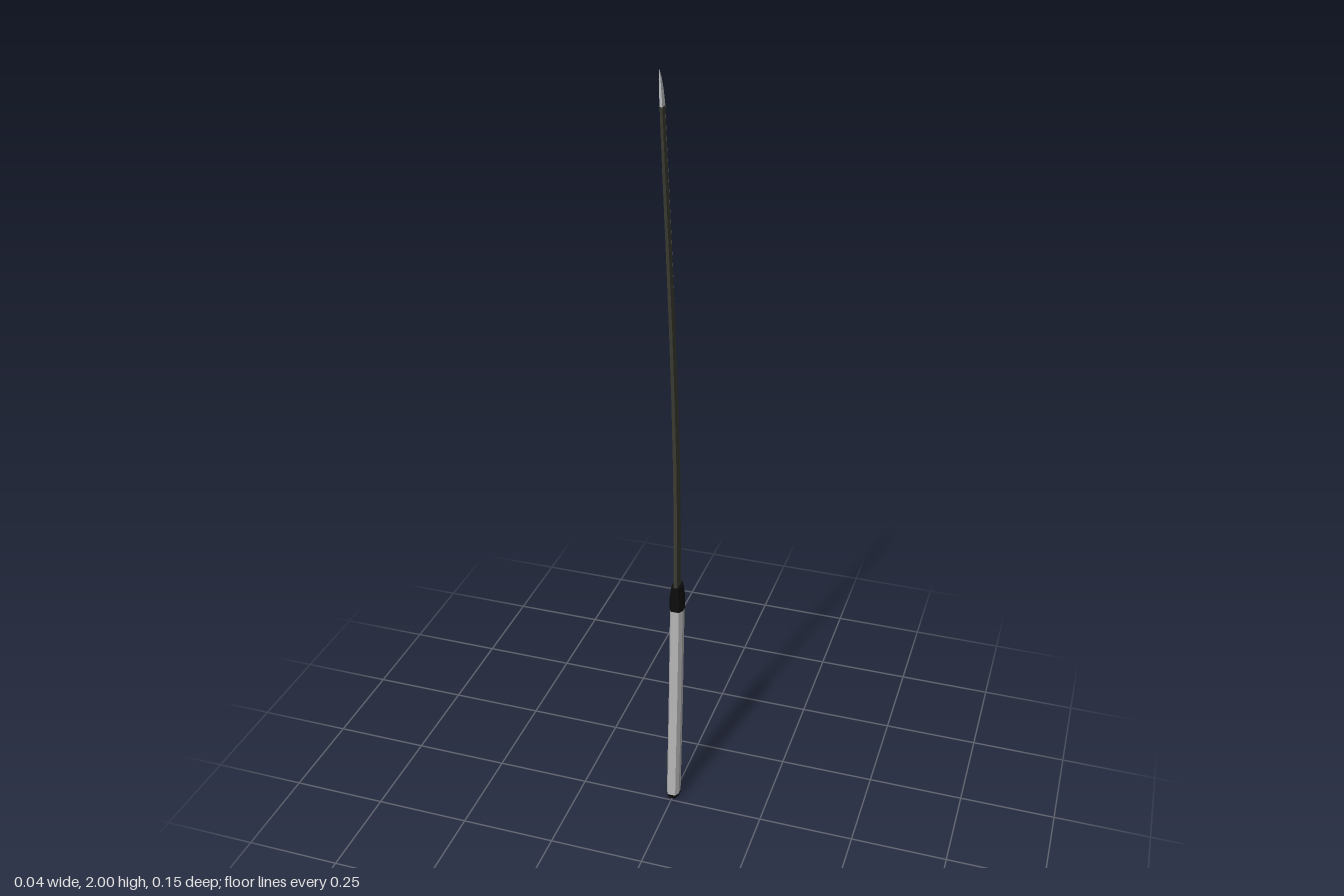
import * as THREE from 'three';

const mat = (name, color) => {
  const m = new THREE.MeshStandardMaterial({ color });
  m.name = name;
  m.flatShading = true;
  return m;
};

// Joins cross-sections (points run from +z towards +x) into flat faces
function loft(rings, closed, capped) {
  const pos = [];
  const tri = (...pts) => pts.forEach((p) => pos.push(...p));
  const n = rings[0].length;
  for (let j = 0; j < rings.length - 1; j++) {
    for (let i = 0; i < (closed ? n : n - 1); i++) {
      const k = (i + 1) % n;
      const a = rings[j][i], b = rings[j][k], c = rings[j + 1][k], d = rings[j + 1][i];
      tri(a, b, c);
      tri(a, c, d);
    }
  }
  if (capped) {
    const lo = rings[0], hi = rings[rings.length - 1];
    for (let i = 1; i < n - 1; i++) {
      tri(lo[0], lo[i + 1], lo[i]);
      tri(hi[0], hi[i], hi[i + 1]);
    }
  }
  const g = new THREE.BufferGeometry();
  g.setAttribute('position', new THREE.Float32BufferAttribute(pos, 3));
  g.computeVertexNormals();
  return g;
}

// Eight-sided grip section
const gripRing = (y, z, w, d) => [
  [0.62, 1], [1, 0.4], [1, -0.4], [0.62, -1], [-0.62, -1], [-1, -0.4], [-1, 0.4], [-0.62, 1],
].map(([x, k]) => [x * w, y, z + k * d]);

export function createModel() {
  const group = new THREE.Group();
  const black = mat('black fittings', 0x0c0c0c);
  const grey = mat('pale grey grip', 0xb4b4b4);
  const dark = mat('dark steel', 0x3c3c34);
  const steel = mat('polished steel', 0x8c8c8a);
  const bright = mat('bright tip', 0xc4c6c8);
  const add = (name, geometry, material) => {
    const mesh = new THREE.Mesh(geometry, material);
    mesh.name = name;
    group.add(mesh);
  };

  // Handle leaning back towards the collar
  add('pommel', loft([
    gripRing(0, -0.024, 0.012, 0.016),
    gripRing(0.006, -0.024, 0.016, 0.02),
    gripRing(0.015, -0.024, 0.017, 0.021),
  ], true, true), black);
  add('handle', loft([
    gripRing(0.015, -0.024, 0.017, 0.021),
    gripRing(0.3, -0.04, 0.017, 0.021),
    gripRing(0.6, -0.052, 0.017, 0.021),
  ], true, true), grey);
  add('collar', loft([
    gripRing(0.595, -0.052, 0.018, 0.022),
    gripRing(0.63, -0.053, 0.018, 0.022),
    gripRing(0.665, -0.053, 0.013, 0.021),
  ], true, true), black);

  // Blade: height, spine z, cutting edge z, half thickness, share of dark steel
  const stations = [
    [0.66, -0.035, -0.073, 0.006, 0.8],
    [0.8, -0.034, -0.072, 0.006, 0.78],
    [0.81, -0.034, -0.07, 0.006, 0.75],
    [1.0, -0.029, -0.066, 0.0058, 0.7],
    [1.2, -0.014, -0.051, 0.0055, 0.62],
    [1.4, 0.005, -0.03, 0.0052, 0.58],
    [1.6, 0.029, -0.005, 0.0048, 0.55],
    [1.8, 0.055, 0.024, 0.0044, 0.55],
    [1.92, 0.069, 0.04, 0.004, 0.55],
  ];
  const blade = stations.map(([y, s, e, w, f]) => ({ y, s, e, w, m: s + (e - s) * f }));
  add('bladeSpine', loft(blade.map(({ y, s, w, m }) => [
    [-w, y, m], [-w * 0.75, y, s], [w * 0.75, y, s], [w, y, m],
  ]), false, false), dark);
  add('bladeEdge', loft(blade.map(({ y, e, w, m }) => [
    [w, y, m], [0, y, e], [-w, y, m],
  ]), false, false), steel);

  // Curved point
  const point = [
    [1.92, 0.069, 0.04, 0.004],
    [1.95, 0.073, 0.049, 0.0035],
    [1.98, 0.077, 0.063, 0.0025],
    [2.0, 0.079, 0.077, 0.0004],
  ];
  add('bladeTip', loft(point.map(([y, s, e, w]) => {
    const m = s + (e - s) * 0.55;
    return [[w * 0.75, y, s], [w, y, m], [0, y, e], [-w, y, m], [-w * 0.75, y, s]];
  }), true, true), bright);

  return group;
}
